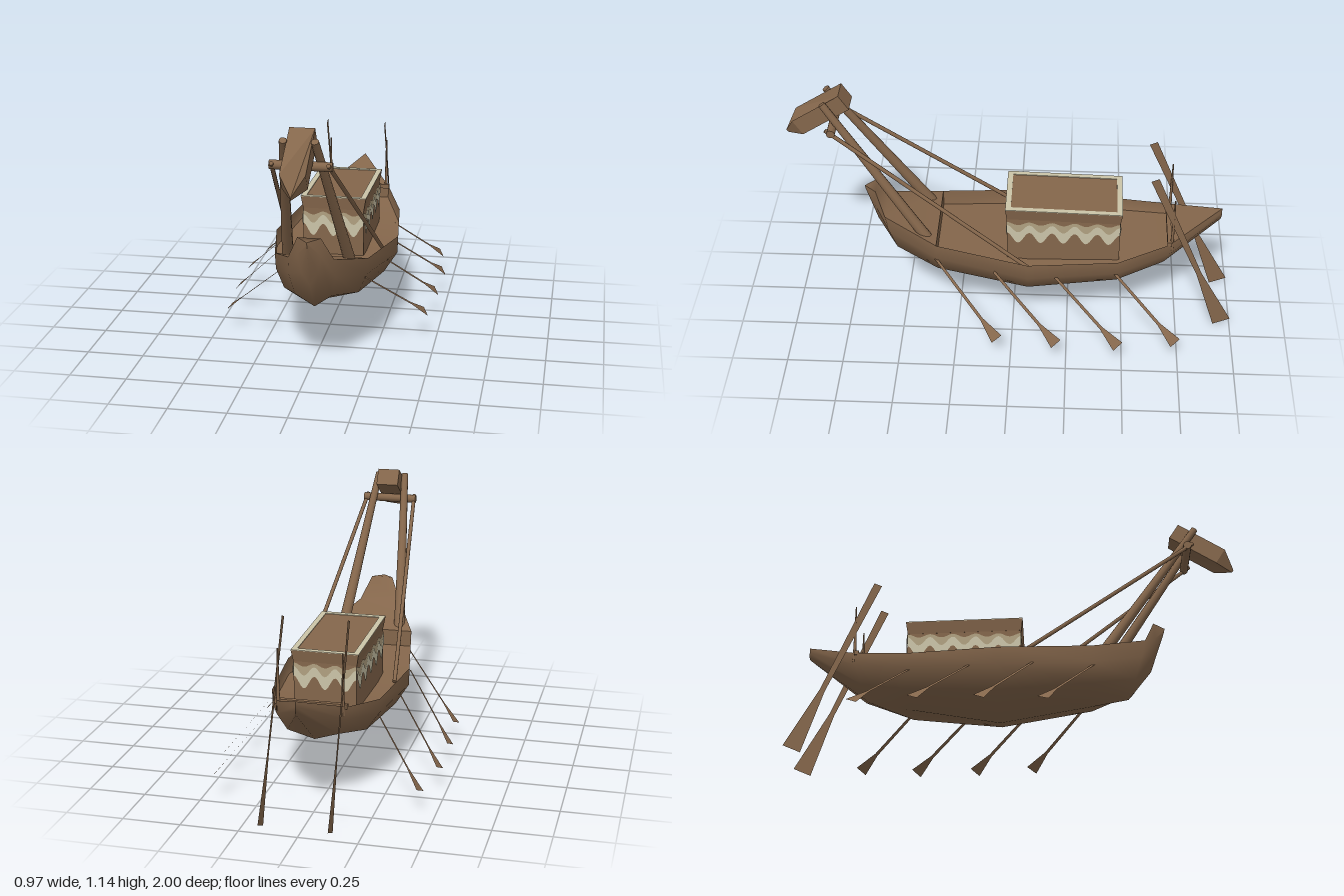
import * as THREE from 'three';

export function createModel() {
  const wood = new THREE.MeshStandardMaterial({ color: 0x84664b, side: THREE.DoubleSide });
  wood.name = 'brown wood';
  const cream = new THREE.MeshStandardMaterial({ color: 0xcbc4a8, side: THREE.DoubleSide });
  cream.name = 'cream paint';
  const tan = new THREE.MeshStandardMaterial({ color: 0xb0a080, side: THREE.DoubleSide });
  tan.name = 'tan paint';

  const model = new THREE.Group();
  model.name = 'boat';
  const boat = new THREE.Group();
  boat.name = 'boatBody';
  boat.position.x = 0.02;
  model.add(boat);
  const V = (x, y, z) => new THREE.Vector3(x, y, z);

  function add(name, geometry, material = wood, parent = boat) {
    const mesh = new THREE.Mesh(geometry, material);
    mesh.name = name;
    parent.add(mesh);
    return mesh;
  }

  // Surface through rows of points
  function loft(rows) {
    const n = rows[0].length, index = [];
    for (let i = 0; i < rows.length - 1; i++) {
      for (let j = 0; j < n - 1; j++) {
        const a = i * n + j, b = a + n;
        index.push(a, b, a + 1, b, b + 1, a + 1);
      }
    }
    const g = new THREE.BufferGeometry();
    g.setAttribute('position', new THREE.Float32BufferAttribute(rows.flat(2), 3));
    g.setIndex(index);
    g.computeVertexNormals();
    return g;
  }

  // Hull half sections from stern to bow: sheer, side, bilge, keel
  const sections = [
    [[0, 0.572, -0.935], [0, 0.55, -0.935], [0, 0.53, -0.935], [0, 0.513, -0.93]],
    [[0.153, 0.476, -0.7], [0.15, 0.42, -0.7], [0.11, 0.345, -0.68], [0, 0.3, -0.65]],
    [[0.238, 0.434, -0.47], [0.235, 0.37, -0.47], [0.18, 0.29, -0.47], [0, 0.265, -0.47]],
    [[0.282, 0.438, -0.07], [0.28, 0.36, -0.07], [0.22, 0.265, -0.07], [0, 0.197, -0.07]],
    [[0.205, 0.474, 0.34], [0.2, 0.4, 0.34], [0.165, 0.315, 0.34], [0, 0.27, 0.34]],
    [[0.098, 0.545, 0.577], [0.1, 0.465, 0.56], [0.08, 0.365, 0.53], [0, 0.3, 0.5]],
    [[0.05, 0.65, 0.62], [0.05, 0.575, 0.625], [0.035, 0.495, 0.615], [0, 0.433, 0.604]],
    [[0, 0.647, 0.673], [0, 0.64, 0.672], [0, 0.63, 0.67], [0, 0.62, 0.667]],
  ];
  const flip = ([x, y, z]) => [-x, y, z];
  add('hull', loft(sections.map(s => [...s, ...s.slice(0, 3).reverse().map(flip)])));

  // Decks span the hull; the middle one is sunken
  const span = (from, to, k) => loft(sections.slice(from, to).map(s => [s[k], flip(s[k])]));
  add('sternDeck', span(0, 2, 0));
  add('mainDeck', span(1, 5, 1));
  add('foreDeck', span(4, 8, 0));
  for (const [name, i] of [['sternBulkhead', 1], ['foreBulkhead', 4]]) {
    const [top, low] = sections[i];
    add(name, loft([[top, flip(top)], [low, flip(low)]]));
  }
  add('sternBeam', new THREE.BoxGeometry(0.31, 0.02, 0.02)).position.set(0, 0.478, -0.7);

  // Cabin
  const cabin = new THREE.Group();
  cabin.name = 'cabin';
  cabin.position.z = -0.225;
  boat.add(cabin);
  add('cabinWalls', new THREE.BoxGeometry(0.276, 0.23, 0.505), wood, cabin).position.y = 0.47;
  const roof = new THREE.Group();
  roof.name = 'roof';
  roof.position.y = 0.605;
  roof.rotation.x = -0.025;
  cabin.add(roof);
  const cornice = new THREE.BoxGeometry(0.296, 0.054, 0.52);
  const cp = cornice.attributes.position;
  for (let i = 0; i < cp.count; i++) {
    if (cp.getY(i) < 0) cp.setXYZ(i, cp.getX(i) * 0.935, cp.getY(i), cp.getZ(i) * 0.972);
  }
  cornice.computeVertexNormals();
  add('cornice', cornice, wood, roof);

  // Painted border on the roof
  const rect = (S, w, h) => new S([[-w, -h], [w, -h], [w, h], [-w, h]].map(p => new THREE.Vector2(...p)));
  const border = rect(THREE.Shape, 0.148, 0.26);
  border.holes.push(rect(THREE.Path, 0.124, 0.236));
  const borderGeo = new THREE.ExtrudeGeometry(border, { depth: 0.003, bevelEnabled: false });
  add('roofBorder', borderGeo.rotateX(-Math.PI / 2), cream, roof).position.y = 0.027;

  // Painted wave bands on the four walls
  function band(width, periods, low, lowAmp, high, highAmp) {
    const pts = [], n = periods * 12;
    const wave = t => Math.cos(t * periods * Math.PI * 2);
    for (let i = 0; i <= n; i++) pts.push(new THREE.Vector2((i / n - 0.5) * width, low + lowAmp * wave(i / n)));
    for (let i = n; i >= 0; i--) pts.push(new THREE.Vector2((i / n - 0.5) * width, high + highAmp * wave(i / n)));
    return new THREE.ShapeGeometry(new THREE.Shape(pts));
  }
  for (let i = 0; i < 4; i++) {
    const side = i % 2 === 1;
    const width = side ? 0.505 : 0.276, periods = side ? 5 : 3;
    const wall = new THREE.Group();
    wall.name = 'wallPaint';
    wall.rotation.y = i * Math.PI / 2;
    cabin.add(wall);
    const out = side ? 0.138 : 0.2525;
    add('tanBand', band(width, periods, 0.515, 0.025, 0.562, 0.008), tan, wall).position.z = out + 0.002;
    add('creamWave', band(width, periods, 0.485, 0.028, 0.535, 0.02), cream, wall).position.z = out + 0.004;
  }

  // Flat oar from handle a to blade end b, its width lying towards z
  function oar(name, a, b, handle, neck, blade, bladeLength) {
    const d = b.clone().sub(a), L = d.length();
    d.normalize();
    const w = V(0, 0, 1).addScaledVector(d, -d.z).normalize();
    const n = d.clone().cross(w);
    const half = [[0, handle], [L - bladeLength, neck], [L, blade]];
    const pts = [...half, ...half.map(([u, v]) => [u, -v]).reverse()];
    const g = new THREE.ShapeGeometry(new THREE.Shape(pts.map(p => new THREE.Vector2(...p))));
    g.applyMatrix4(new THREE.Matrix4().makeBasis(d, w, n).setPosition(a));
    add(name, g);
  }
  const rowers = [[0.19, 0.39, 0.345, 0.43], [0.255, 0.376, 0.08, 0.45], [0.265, 0.362, -0.195, 0.455], [0.22, 0.37, -0.45, 0.42]];
  for (const [x, y, z, reach] of rowers) {
    oar('leftOar', V(x, y, z), V(reach, 0.132, z - 0.285), 0.006, 0.007, 0.027, 0.11);
    oar('rightOar', V(-x, y, z), V(-reach - 0.035, 0.122, z - 0.22), 0.006, 0.007, 0.027, 0.11);
  }

  // Round pole between two points
  function pole(name, a, b, r0, r1) {
    const d = b.clone().sub(a);
    const m = add(name, new THREE.CylinderGeometry(r1, r0, d.length(), 10));
    m.position.copy(a).addScaledVector(d, 0.5);
    m.quaternion.setFromUnitVectors(V(0, 1, 0), d.normalize());
  }
  for (const s of [1, -1]) {
    oar('steeringOar', V(s * 0.14, 0.82, -0.618), V(s * 0.147, 0.03, -0.963), 0.019, 0.012, 0.042, 0.3);
    pole('steeringPost', V(s * 0.138, 0.44, -0.71), V(s * 0.138, 0.71, -0.712), 0.008, 0.003);
    pole('bowPole', V(s * 0.138, 0.45, 0.375), V(s * 0.064, 1.12, 0.825), 0.026, 0.016);
    pole('stay', V(s * 0.215, 0.37, -0.075), V(s * 0.115, 1.02, 0.81), 0.009, 0.009);
  }
  pole('crossbar', V(-0.128, 1.008, 0.785), V(0.128, 1.008, 0.785), 0.019, 0.019);

  // Pointed bow block, thinning towards its tip
  const outline = [[-0.052, 0], [0.052, 0], [0.052, 0.248], [0, 0.325], [-0.052, 0.248]];
  const block = new THREE.ExtrudeGeometry(
    new THREE.Shape(outline.map(p => new THREE.Vector2(...p))), { depth: 0.08, bevelEnabled: false });
  const bp = block.attributes.position;
  for (let i = 0; i < bp.count; i++) {
    if (bp.getY(i) > 0.3) bp.setZ(i, bp.getZ(i) > 0.04 ? 0.034 : 0.02);
  }
  block.computeVertexNormals();
  const along = V(0, -0.54, 0.84).normalize(), up = V(0, 0.84, 0.54).normalize();
  block.applyMatrix4(new THREE.Matrix4().makeBasis(V(-1, 0, 0), along, up).setPosition(0, 1.088, 0.71));
  add('bowBlock', block);

  return model;
}
